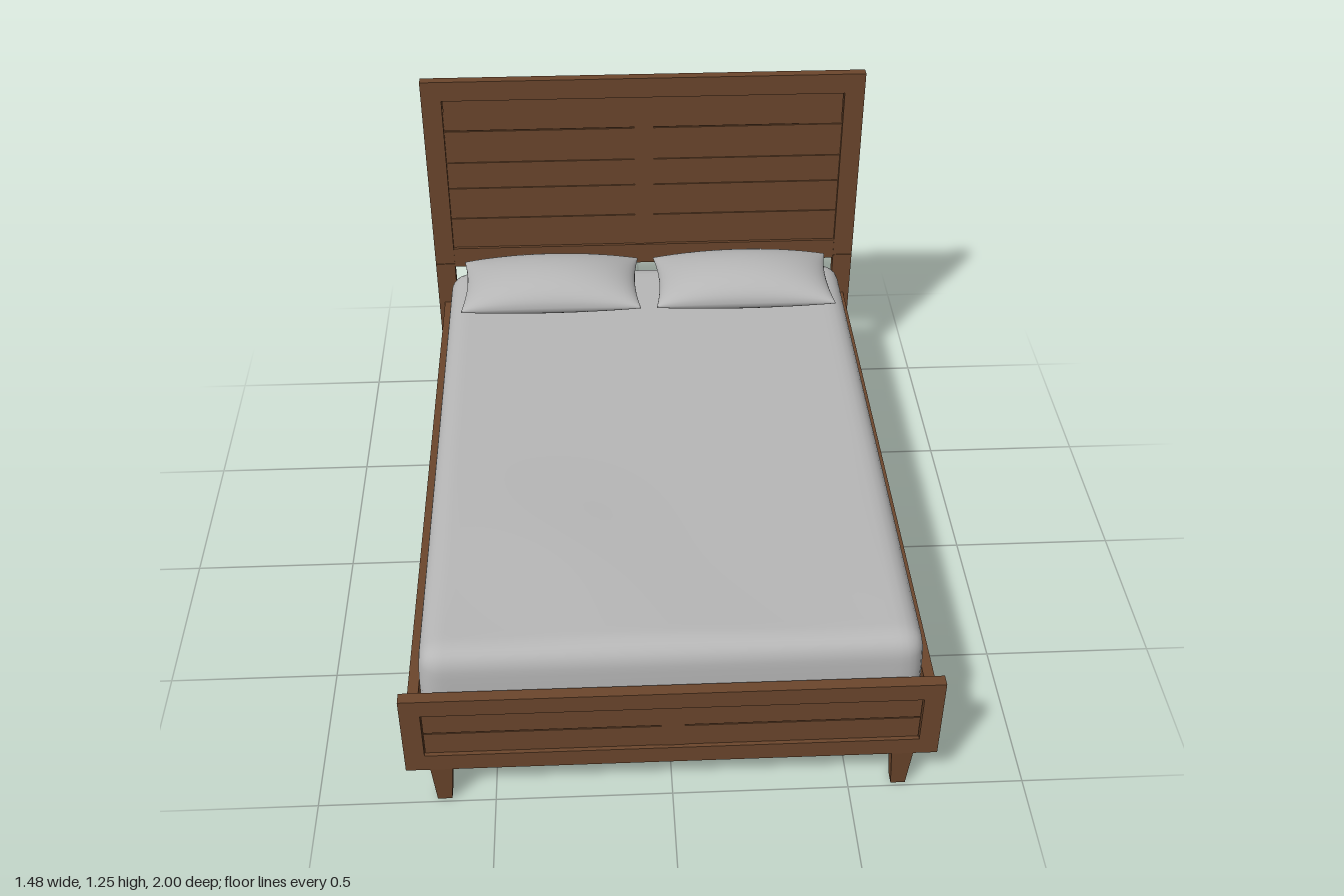
import * as THREE from 'three';
import { mergeVertices } from 'three/addons/utils/BufferGeometryUtils.js';

const material = (name, color) => {
  const m = new THREE.MeshStandardMaterial({ color });
  m.name = name;
  return m;
};

export function createModel() {
  const wood = material('brown wood', 0x6b462c);
  const linen = material('grey linen', 0xb6b6b6);
  const backing = material('dark green backing', 0x0b220e);
  const steel = material('bolt steel', 0xb0b0b0);
  const bed = new THREE.Group();
  bed.name = 'bed';

  const group = (name) => {
    const g = new THREE.Group();
    g.name = name;
    bed.add(g);
    return g;
  };
  const add = (parent, name, geometry, mat) => {
    const mesh = new THREE.Mesh(geometry, mat);
    mesh.name = name;
    parent.add(mesh);
    return mesh;
  };
  // Box given by its limits on each axis
  const block = (parent, name, [x0, x1], [y0, y1], [z0, z1], mat = wood) => {
    const mesh = add(parent, name, new THREE.BoxGeometry(x1 - x0, y1 - y0, z1 - z0), mat);
    mesh.position.set((x0 + x1) / 2, (y0 + y1) / 2, (z0 + z1) / 2);
    return mesh;
  };
  const span = (s, a, b) => (s > 0 ? [a, b] : [-b, -a]);
  // Rows of planks on both sides of a centre stile, parted by fine grooves
  const planks = (parent, halfWidth, edges, z) => {
    const gap = 0.002;
    block(parent, 'centreStile', [-0.032, 0.032], [edges[0], edges[edges.length - 1]], z);
    for (const s of [-1, 1])
      for (let i = 0; i + 1 < edges.length; i++)
        block(parent, 'plank', span(s, 0.032, halfWidth), [edges[i] + gap, edges[i + 1] - gap], z);
  };
  // Smooth cloth: weld a box grid and move its vertices by a rule
  const cloth = (geometry, rule) => {
    geometry.deleteAttribute('uv');
    geometry.deleteAttribute('normal');
    const g = mergeVertices(geometry);
    const p = g.attributes.position;
    const v = new THREE.Vector3();
    for (let i = 0; i < p.count; i++) {
      rule(v.fromBufferAttribute(p, i));
      p.setXYZ(i, v.x, v.y, v.z);
    }
    g.computeVertexNormals();
    return g;
  };

  // Headboard, with a dark rear face
  const greenBack = [wood, wood, wood, wood, wood, backing];
  const headboard = group('headboard');
  const headZ = [-0.998, -0.966];
  for (const s of [-1, 1]) {
    block(headboard, 'headboardStile', span(s, 0.675, 0.742), [0.54, 1.247], headZ, greenBack);
    block(headboard, 'backLeg', span(s, 0.675, 0.742), [0, 0.538], headZ, greenBack);
    for (const y of [0.45, 0.52]) {
      const bolt = add(headboard, 'bolt', new THREE.CylinderGeometry(0.008, 0.008, 0.006, 12), steel);
      bolt.rotation.x = Math.PI / 2;
      bolt.position.set(s * 0.712, y, -0.997);
    }
  }
  block(headboard, 'topRail', [-0.675, 0.675], [1.177, 1.247], headZ, greenBack);
  block(headboard, 'lowerRail', [-0.675, 0.675], [0.525, 0.6], [-0.995, -0.968], greenBack);
  block(headboard, 'backPanel', [-0.675, 0.675], [0.6, 1.177], [-0.995, -0.98], greenBack);
  planks(headboard, 0.672, [0.6, 0.72, 0.84, 0.94, 1.06, 1.177], [-0.98, -0.975]);

  // Footboard
  const footboard = group('footboard');
  const footZ = [0.966, 1];
  for (const s of [-1, 1])
    block(footboard, 'footboardStile', span(s, 0.686, 0.742), [0.136, 0.408], footZ);
  block(footboard, 'topRail', [-0.686, 0.686], [0.351, 0.408], footZ);
  block(footboard, 'bottomRail', [-0.686, 0.686], [0.136, 0.193], footZ);
  block(footboard, 'backPanel', [-0.686, 0.686], [0.193, 0.351], [0.966, 0.985]);
  planks(footboard, 0.684, [0.193, 0.272, 0.351], [0.985, 0.99]);

  // Tapered square front feet
  for (const s of [-1, 1]) {
    const geometry = new THREE.CylinderGeometry(0.043, 0.029, 0.136, 4, 1).toNonIndexed();
    geometry.rotateY(Math.PI / 4);
    geometry.computeVertexNormals();
    add(bed, 'frontFoot', geometry, wood).position.set(s * 0.644, 0.068, 0.969);
  }

  // Side rails and base
  const frame = group('frame');
  for (const s of [-1, 1])
    block(frame, 'sideRail', span(s, 0.692, 0.722), [0.136, 0.376], [-0.966, 0.966]);
  block(frame, 'base', [-0.692, 0.692], [0.15, 0.2], [-0.955, 0.966],
    [wood, wood, wood, backing, wood, wood]);

  // Mattress: rounded box, drawn in near the top, with soft creases
  const half = new THREE.Vector3(0.69, 0.168, 0.957);
  const r = 0.06;
  const inner = half.clone().subScalar(r);
  const core = new THREE.Vector3();
  const mattress = cloth(new THREE.BoxGeometry(1.38, 0.336, 1.914, 60, 16, 84), (v) => {
    core.copy(v).clamp(inner.clone().negate(), inner);
    v.sub(core).setLength(r).add(core);
    const t = Math.max(0, v.y / half.y);
    v.x *= 1 - 0.012 * t * t;
    v.z *= 1 - 0.008 * t * t;
    if (t > 0.9) {
      const fold = Math.sin(7 * v.x - 5 * v.z) * 0.003 * Math.max(0, v.z);
      const swell = 0.008 * Math.exp(-((v.x + 0.3) ** 2 + (v.z - 0.5) ** 2) / 0.06);
      v.y += (fold + swell) * (t - 0.9) * 10;
    }
  });
  add(bed, 'mattress', mattress, linen).position.set(0, 0.364, 0.003);

  // Pillows: full in the middle, with drawn-in sides and pointed corners
  const pillow = cloth(new THREE.BoxGeometry(2, 2, 2, 32, 1, 24), (v) => {
    const u = Math.sin(v.x * Math.PI / 2);
    const w = Math.sin(v.z * Math.PI / 2);
    const loft = Math.sqrt(Math.max(0, (1 - u * u) * (1 - w * w)));
    v.y = v.y > 0 ? 0.002 + 0.084 * loft : -0.002 - 0.058 * loft;
    v.x = 0.303 * u * (1 - 0.05 * (1 - w * w));
    v.z = 0.155 * w * (1 - 0.05 * (1 - u * u));
  });
  for (const s of [-1, 1])
    add(bed, 'pillow', pillow, linen).position.set(s * 0.33, 0.583, -0.748);

  return bed;
}
